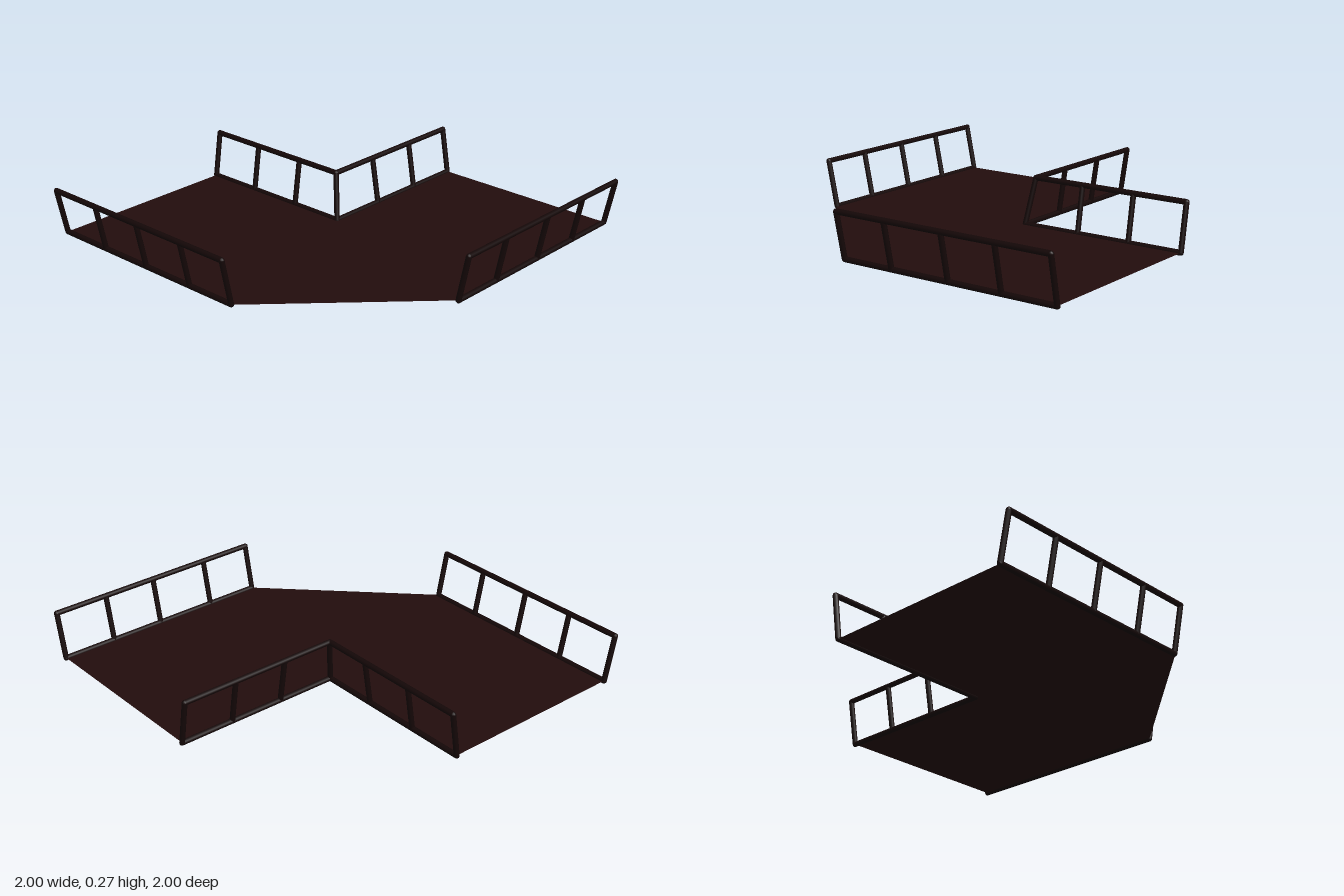
import * as THREE from 'three';

const R = 0.014; // bar radius
const LOW = 0.014, HIGH = 0.252; // heights of the bottom and top bars

export function createModel() {
  const model = new THREE.Group();
  model.name = 'platform';
  const floorMat = new THREE.MeshStandardMaterial({ color: 0x220d0d, side: THREE.DoubleSide });
  floorMat.name = 'dark brown floor';
  const railMat = new THREE.MeshStandardMaterial({ color: 0x140707 });
  railMat.name = 'blackish brown rail';

  // Thin L-shaped deck with one cut corner, outline given as x, z
  const outline = [
    [-0.936, -0.986], [0.086, -0.986], [0.086, -0.086], [0.986, -0.086],
    [0.986, 0.936], [-0.207, 0.936], [-0.936, 0.207],
  ];
  const shape = new THREE.Shape(outline.map(([x, z]) => new THREE.Vector2(x, -z)));
  const floorGeo = new THREE.ShapeGeometry(shape);
  floorGeo.rotateX(-Math.PI / 2);
  const floor = new THREE.Mesh(floorGeo, floorMat);
  floor.name = 'floor';
  floor.position.y = LOW;
  model.add(floor);

  // Round bar between two points
  function bar(parent, a, b, name) {
    const dir = b.clone().sub(a);
    const mesh = new THREE.Mesh(new THREE.CylinderGeometry(R, R, dir.length(), 10), railMat);
    mesh.position.copy(a).add(b).multiplyScalar(0.5);
    mesh.quaternion.setFromUnitVectors(new THREE.Vector3(0, 1, 0), dir.normalize());
    mesh.name = name;
    parent.add(mesh);
  }

  function joint(parent, p) {
    const mesh = new THREE.Mesh(new THREE.SphereGeometry(R, 10, 6), railMat);
    mesh.position.copy(p);
    mesh.name = 'joint';
    parent.add(mesh);
  }

  // Leaning railing; each post is [bottom x, bottom z, top x, top z]
  function railing(name, posts) {
    const group = new THREE.Group();
    group.name = name;
    const low = posts.map((p) => new THREE.Vector3(p[0], LOW, p[1]));
    const high = posts.map((p) => new THREE.Vector3(p[2], HIGH, p[3]));
    const last = posts.length - 1;
    low.forEach((p, i) => bar(group, p, high[i], 'post'));
    for (const row of [low, high]) {
      bar(group, row[0], row[last], row === low ? 'bottomRail' : 'topRail');
      joint(group, row[0]);
      joint(group, row[last]);
    }
    model.add(group);
  }

  // Outer railings lean away from the deck
  railing('rightRailing', [-0.986, -0.686, -0.386, -0.08, 0.2].map((z) => [-0.936, z, -0.986, z]));
  railing('frontRailing', [-0.207, 0.077, 0.403, 0.695, 0.986].map((x) => [x, 0.936, x, 0.986]));

  // Inner railings meet at a shared slanted corner post
  const corner = [0.086, -0.086, 0.122, -0.126];
  railing('innerSideRailing',
    [...[-0.986, -0.686, -0.386].map((z) => [0.086, z, 0.122, z]), corner]);
  railing('innerBackRailing',
    [corner, ...[0.403, 0.695, 0.986].map((x) => [x, -0.086, x, -0.126])]);

  return model;
}
